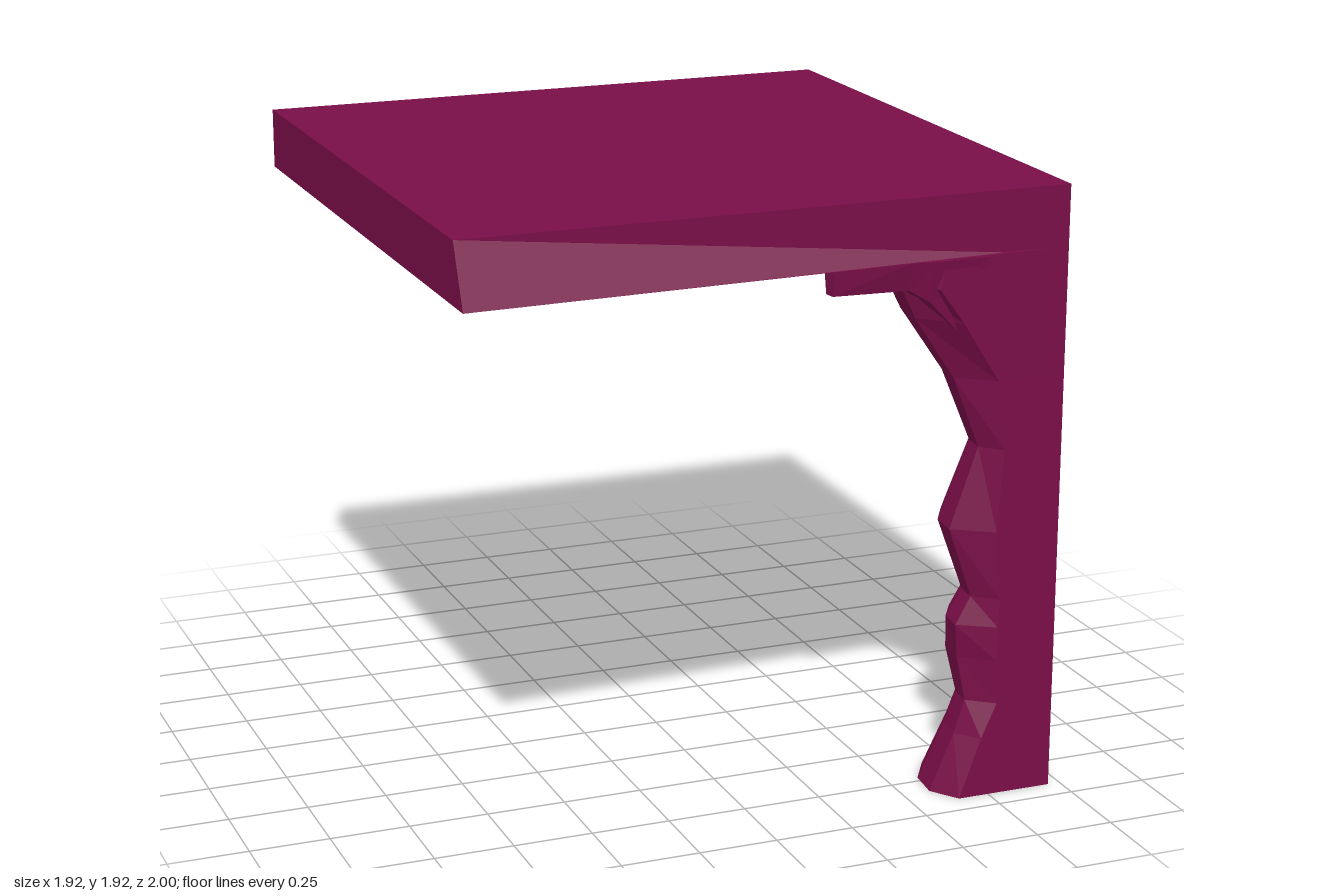
import * as THREE from 'three';

const plum = new THREE.MeshStandardMaterial({ color: 0x7a0e48, flatShading: true });
plum.name = 'plum';

// Skin a closed solid over rings of [x, y, z] points (counter-clockwise seen from the last ring)
function loft(name, rings) {
  const pos = [];
  const tri = (a, b, c) => pos.push(...a, ...b, ...c);
  const n = rings[0].length;
  for (let r = 0; r < rings.length - 1; r++) {
    const lo = rings[r], hi = rings[r + 1];
    for (let i = 0; i < n; i++) {
      const j = (i + 1) % n;
      tri(lo[i], lo[j], hi[i]);
      tri(lo[j], hi[j], hi[i]);
    }
  }
  const first = rings[0], last = rings[rings.length - 1];
  for (let i = 1; i < n - 1; i++) {
    tri(first[0], first[i + 1], first[i]);
    tri(last[0], last[i], last[i + 1]);
  }
  const geo = new THREE.BufferGeometry();
  geo.setAttribute('position', new THREE.Float32BufferAttribute(pos, 3));
  geo.computeVertexNormals();
  const mesh = new THREE.Mesh(geo, plum);
  mesh.name = name;
  return mesh;
}

const X = 0.96, Z = 0.92;

// Leg section: square outer corner, rounded inner side
function legRing([y, minX, minZ, flatX, flatZ]) {
  const w = X - minX, d = Z - minZ;
  return [
    [X, Z], [X, flatZ],
    [X - w * 0.2, minZ + d * 0.06],
    [X - w * 0.5, minZ],
    [X - w * 0.8, minZ + d * 0.18],
    [minX + w * 0.03, minZ + d * 0.46],
    [minX, minZ + d * 0.76],
    [flatX, Z],
  ].map(([x, z]) => [x, y, z]);
}

// Root spreading under the slab: stations are [distance 0..1, underside y, half width]
function root(name, from, to, stations, top = 1.728) {
  const dx = to[0] - from[0], dz = to[1] - from[1], len = Math.hypot(dx, dz);
  const sx = dz / len, sz = -dx / len;
  return loft(name, stations.map(([t, low, h]) => {
    const x = from[0] + dx * t, z = from[1] + dz * t;
    const at = (k, y) => [Math.min(X, x + sx * k), y, Math.min(Z + 0.005, z + sz * k)];
    return [at(-h * 0.6, low), at(h * 0.6, low), at(h, top), at(-h, top)];
  }));
}

export function createModel() {
  const model = new THREE.Group();
  model.name = 'cornerTable';

  // Slab, with one lower front corner pulled forward
  const slab = (y, z) => [[X, y, Z], [X, y, -1], [-X, y, -1], [-X, y, z], [0.75, y, Z]];
  model.add(loft('slab', [slab(1.735, 1), slab(1.925, Z)]));

  // Knobbly leg: [y, inner x, inner z, front face edge, side face edge]
  model.add(loft('leg', [
    [0, 0.59, 0.56, 0.65, 0.65],
    [0.19, 0.66, 0.625, 0.72, 0.72],
    [0.3, 0.69, 0.66, 0.77, 0.77],
    [0.44, 0.667, 0.595, 0.765, 0.73],
    [0.55, 0.655, 0.63, 0.765, 0.75],
    [0.64, 0.70, 0.66, 0.77, 0.77],
    [0.86, 0.63, 0.585, 0.75, 0.74],
    [1.12, 0.71, 0.665, 0.77, 0.775],
    [1.34, 0.63, 0.585, 0.74, 0.74],
    [1.53, 0.51, 0.48, 0.62, 0.68],
    [1.64, 0.46, 0.44, 0.54, 0.64],
    [1.735, 0.48, 0.46, 0.56, 0.62],
  ].map(legRing)));

  // Roots reaching out from the head of the leg
  const taper = [[0, 1.36, 0.09], [0.28, 1.53, 0.09], [0.5, 1.61, 0.07], [0.62, 1.65, 0.05], [1, 1.69, 0.022]];
  model.add(root('sideRoot', [0.87, 0.62], [0.9, 0.05],
    [[0, 1.36, 0.09], [0.28, 1.53, 0.08], [0.53, 1.6, 0.055], [0.62, 1.65, 0.045], [1, 1.69, 0.02]]));
  model.add(root('innerSideRoot', [0.78, 0.62], [0.69, 0.1], taper));
  model.add(root('diagonalRoot', [0.75, 0.68], [0.37, 0.16], taper));
  model.add(root('innerFrontRoot', [0.68, 0.76], [0.1, 0.58],
    [[0, 1.42, 0.09], [0.35, 1.62, 0.07], [0.6, 1.655, 0.045], [1, 1.68, 0.02]], 1.72));
  model.add(root('frontRoot', [0.68, 0.83], [0.19, 0.9],
    [[0, 1.42, 0.1], [0.35, 1.6, 0.08], [0.48, 1.64, 0.05], [1, 1.652, 0.03]]));

  return model;
}
